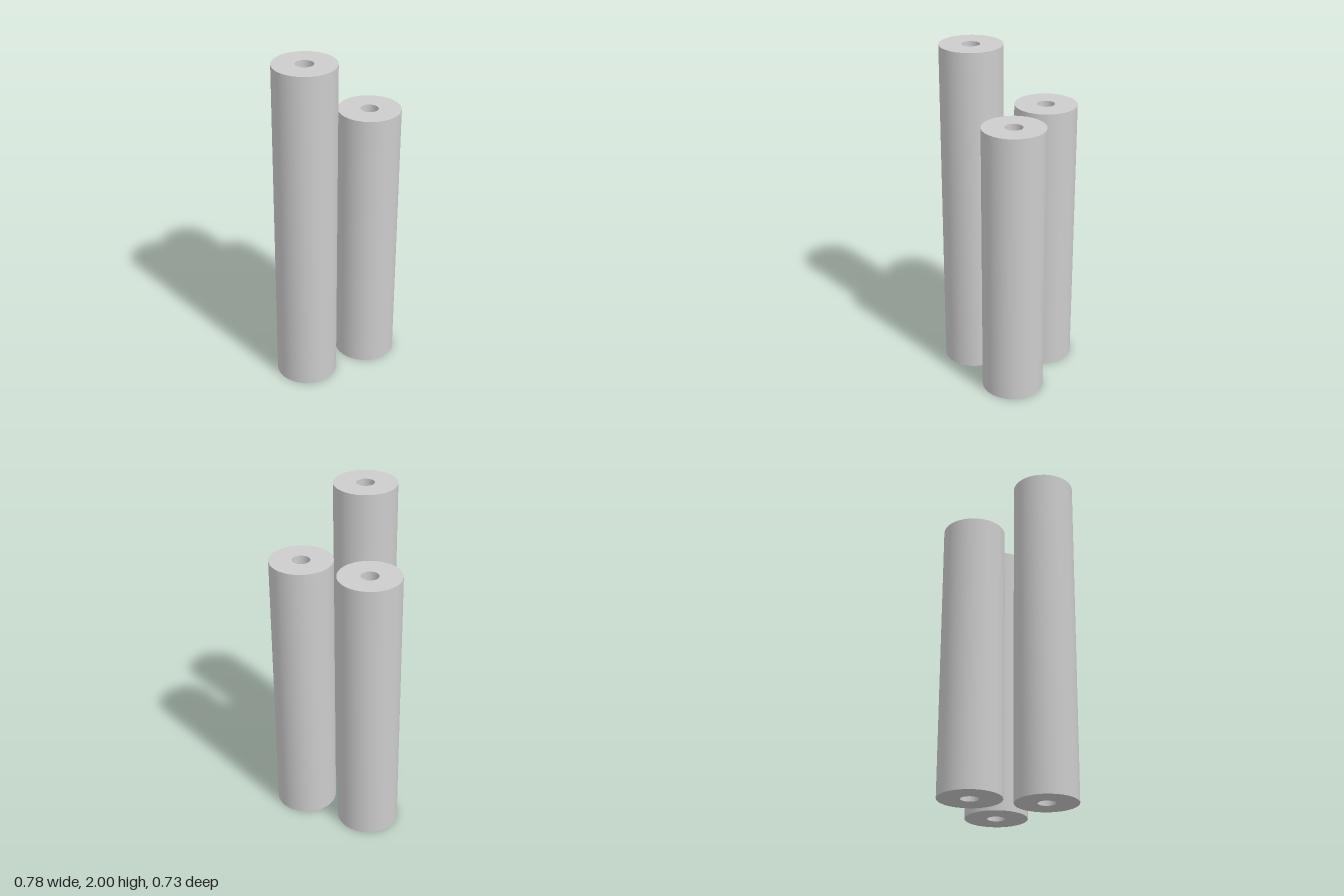
import * as THREE from 'three';
import { toCreasedNormals } from 'three/addons/utils/BufferGeometryUtils.js';

const OUTER_RADIUS = 0.181;
const BORE_RADIUS = 0.052;

// Points of a regular ring outline
function ringPoints(radius, sides) {
  return Array.from({ length: sides }, (_, i) => {
    const a = (i / sides) * Math.PI * 2;
    return new THREE.Vector2(Math.cos(a) * radius, Math.sin(a) * radius);
  });
}

// Upright thick-walled tube, open right through, standing on y = 0
function tubeGeometry(height) {
  const section = new THREE.Shape(ringPoints(OUTER_RADIUS, 32));
  section.holes.push(new THREE.Path(ringPoints(BORE_RADIUS, 16)));
  const geometry = new THREE.ExtrudeGeometry(section, { depth: height, bevelEnabled: false });
  geometry.rotateX(-Math.PI / 2);
  return toCreasedNormals(geometry, 0.6);
}

export function createModel() {
  const model = new THREE.Group();
  model.name = 'tubeCluster';

  const grey = new THREE.MeshStandardMaterial({ color: 0xcccccc });
  grey.name = 'lightGrey';

  // One tall tube in front, two shorter ones behind
  const tubes = [
    { name: 'frontTube', x: 0, z: 0.183, height: 2 },
    { name: 'backLeftTube', x: 0.211, z: -0.185, height: 1.64 },
    { name: 'backRightTube', x: -0.211, z: -0.185, height: 1.64 },
  ];
  for (const { name, x, z, height } of tubes) {
    const tube = new THREE.Mesh(tubeGeometry(height), grey);
    tube.name = name;
    tube.position.set(x, 0, z);
    model.add(tube);
  }
  return model;
}
